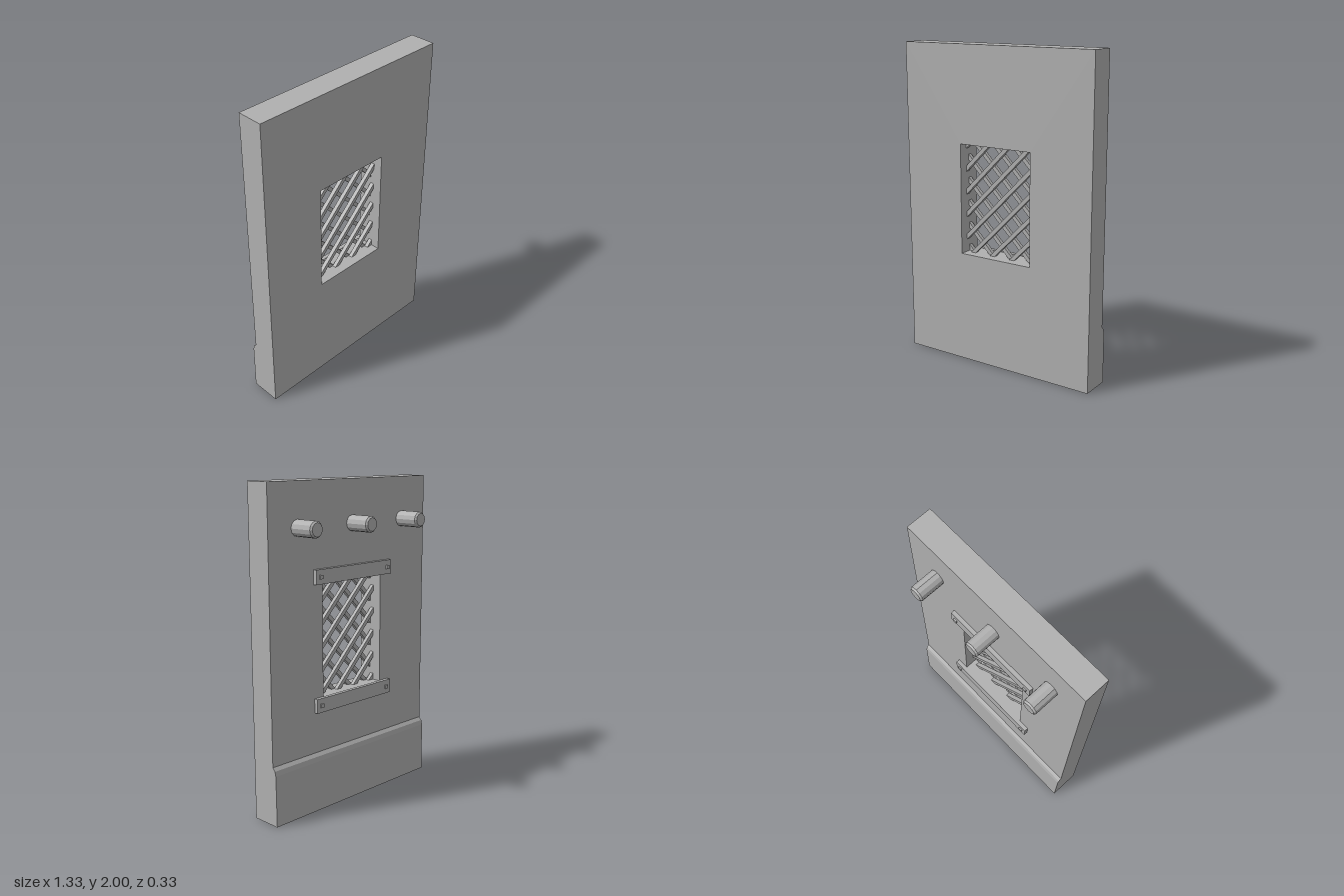
import * as THREE from 'three';

export function createModel() {
  const group = new THREE.Group();
  const grey = new THREE.MeshStandardMaterial({ color: 0xb0b0b0, flatShading: true });
  grey.name = 'plain grey';

  const add = (name, geometry, x = 0, y = 0, z = 0) => {
    const mesh = new THREE.Mesh(geometry, grey);
    mesh.name = name;
    mesh.position.set(x, y, z);
    group.add(mesh);
    return mesh;
  };

  const halfWidth = 0.665, depth = 0.163;
  const win = { x: 0.252, bottom: 0.705, top: 1.4 };

  // Door slab with a rectangular window opening
  const rect = (path, x, y0, y1) =>
    path.moveTo(-x, y0).lineTo(x, y0).lineTo(x, y1).lineTo(-x, y1).closePath();
  const outline = rect(new THREE.Shape(), halfWidth, 0, 2);
  outline.holes.push(rect(new THREE.Path(), win.x, win.bottom, win.top));
  add('doorSlab', new THREE.ExtrudeGeometry(outline, { depth, bevelEnabled: false }));

  // Kick board: sloped-top profile swept across the back of the slab
  const profile = new THREE.Shape([
    [0, 0], [0.028, 0], [0.025, 0.315], [0.018, 0.345], [0, 0.365],
  ].map(([x, y]) => new THREE.Vector2(x, y)));
  const kick = new THREE.ExtrudeGeometry(profile, { depth: halfWidth * 2, bevelEnabled: false });
  kick.translate(0, 0, -halfWidth).rotateY(Math.PI / 2);
  add('kickBoard', kick);

  // Window lattice: two layers of diagonal bars, ends sunk into the slab
  const pitch = 0.145, bar = 0.025, sink = 0.012;
  for (const slope of [1, -1]) {
    const z = depth / 2 + slope * bar / 2;
    for (let k = -8; k <= 5; k++) {
      const c = 1.345 + k * pitch; // bar centreline: y = slope * x + c
      const xa = slope * (win.bottom - sink - c), xb = slope * (win.top + sink - c);
      const x0 = Math.max(-win.x - sink, Math.min(xa, xb));
      const x1 = Math.min(win.x + sink, Math.max(xa, xb));
      if (x1 - x0 < 0.03) continue;
      const mid = (x0 + x1) / 2;
      const length = (x1 - x0) * Math.SQRT2;
      add('latticeBar', new THREE.BoxGeometry(length, bar, bar), mid, slope * mid + c, z)
        .rotation.z = slope * Math.PI / 4;
    }
  }

  // Straps above and below the window, each with two bolt heads
  for (const y of [1.444, 0.664]) {
    add('windowStrap', new THREE.BoxGeometry(0.65, 0.088, 0.025), 0, y, -0.0125);
    for (const side of [-1, 1]) {
      add('strapBolt', new THREE.BoxGeometry(0.024, 0.024, 0.012), side * 0.288, y, -0.028);
    }
  }

  // Row of coat pegs with chamfered tips
  const peg = new THREE.LatheGeometry([
    [0, 0], [0.049, 0], [0.049, 0.152], [0.04, 0.163], [0, 0.163],
  ].map(([r, y]) => new THREE.Vector2(r, y)), 12);
  peg.rotateX(-Math.PI / 2);
  for (const x of [-0.445, 0, 0.445]) add('peg', peg, x, 1.737, 0);

  return group;
}
